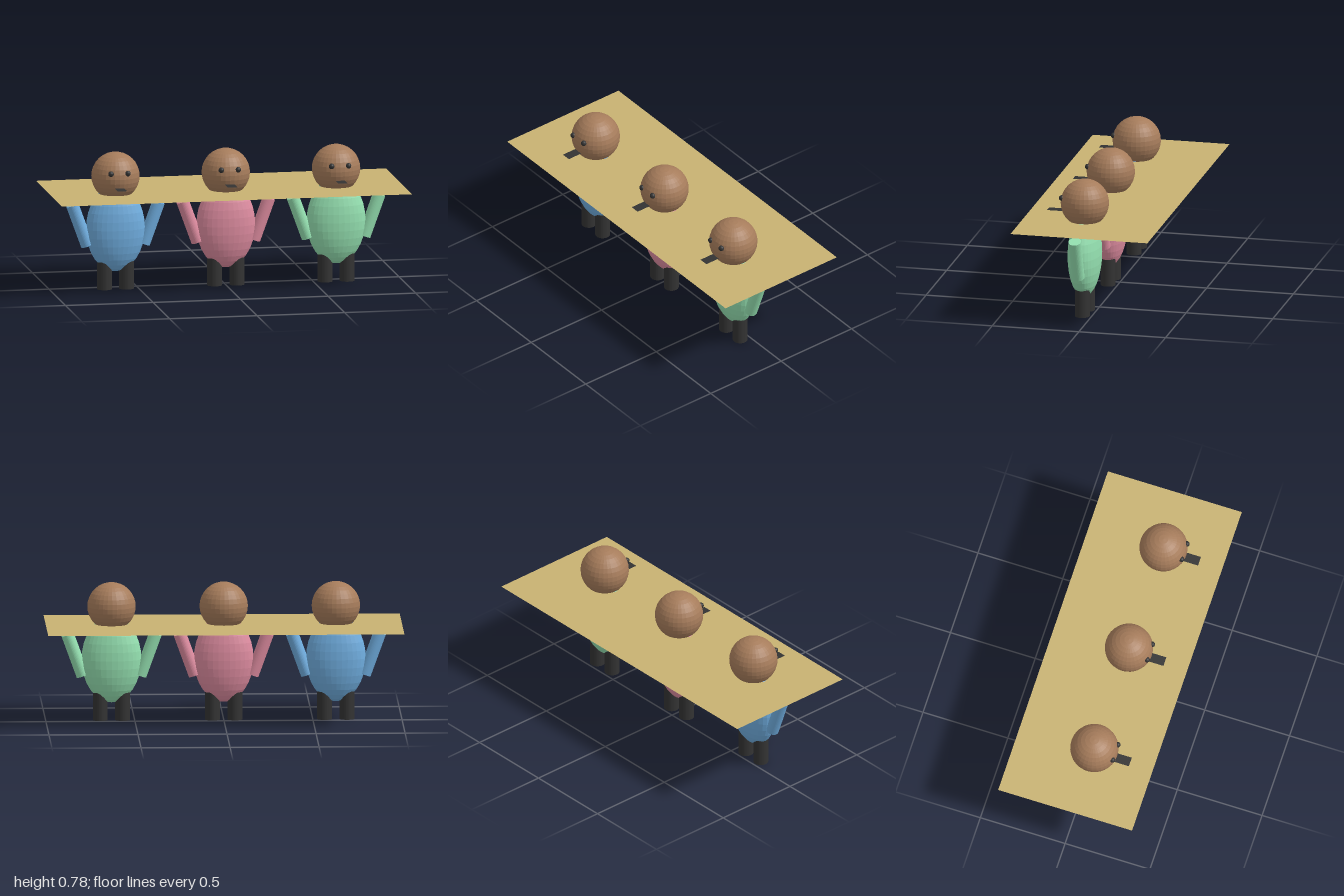
import * as THREE from 'three';

const mat = (name, color, extra = {}) => {
  const m = new THREE.MeshStandardMaterial({ color, flatShading: true, ...extra });
  m.name = name;
  return m;
};

function add(parent, name, geometry, material, x, y, z) {
  const mesh = new THREE.Mesh(geometry, material);
  mesh.name = name;
  mesh.position.set(x, y, z);
  parent.add(mesh);
  return mesh;
}

export function createModel() {
  const model = new THREE.Group();
  model.name = 'threeFigures';

  const skin = mat('brown', 0xa67c5b);
  const dark = mat('charcoal', 0x333333, { side: THREE.DoubleSide });
  const sand = mat('sand', 0xc8b272, { side: THREE.DoubleSide });
  const shirts = [mat('blue', 0x70aee0), mat('pink', 0xde8ca0), mat('green', 0x94e0b0)];

  // Shared shapes
  const headGeo = new THREE.SphereGeometry(0.136, 32, 16);
  const bodyGeo = new THREE.SphereGeometry(1, 32, 16).scale(0.168, 0.245, 0.092);
  const armGeo = new THREE.CylinderGeometry(0.036, 0.036, 0.25, 32);
  const legGeo = new THREE.CylinderGeometry(0.042, 0.042, 0.2, 32);
  const eyeGeo = new THREE.SphereGeometry(0.016, 16, 10);
  const beakGeo = new THREE.PlaneGeometry(0.054, 0.13).rotateX(-Math.PI / 2);

  shirts.forEach((shirt, i) => {
    const figure = new THREE.Group();
    figure.name = `${shirt.name}Figure`;
    figure.position.set((i - 1) * 0.63, 0, 0.053);
    model.add(figure);

    add(figure, 'body', bodyGeo, shirt, 0, 0.345, 0);
    add(figure, 'head', headGeo, skin, 0, 0.645, 0);
    add(figure, 'mouth', beakGeo, dark, 0, 0.595, 0.147);

    // Mirrored limbs and eyes, arms leaning outwards at the top
    for (const [side, s] of [['left', 1], ['right', -1]]) {
      const arm = add(figure, `${side}Arm`, armGeo, shirt, s * 0.204, 0.37, 0);
      arm.rotation.z = -s * THREE.MathUtils.degToRad(20);
      add(figure, `${side}Leg`, legGeo, dark, s * 0.063, 0.1, 0);
      add(figure, `${side}Eye`, eyeGeo, dark, s * 0.048, 0.678, 0.122);
    }
  });

  // Thin sheet at neck height
  add(model, 'sheet', new THREE.PlaneGeometry(2, 0.79).rotateX(-Math.PI / 2), sand, 0, 0.545, 0);

  return model;
}
